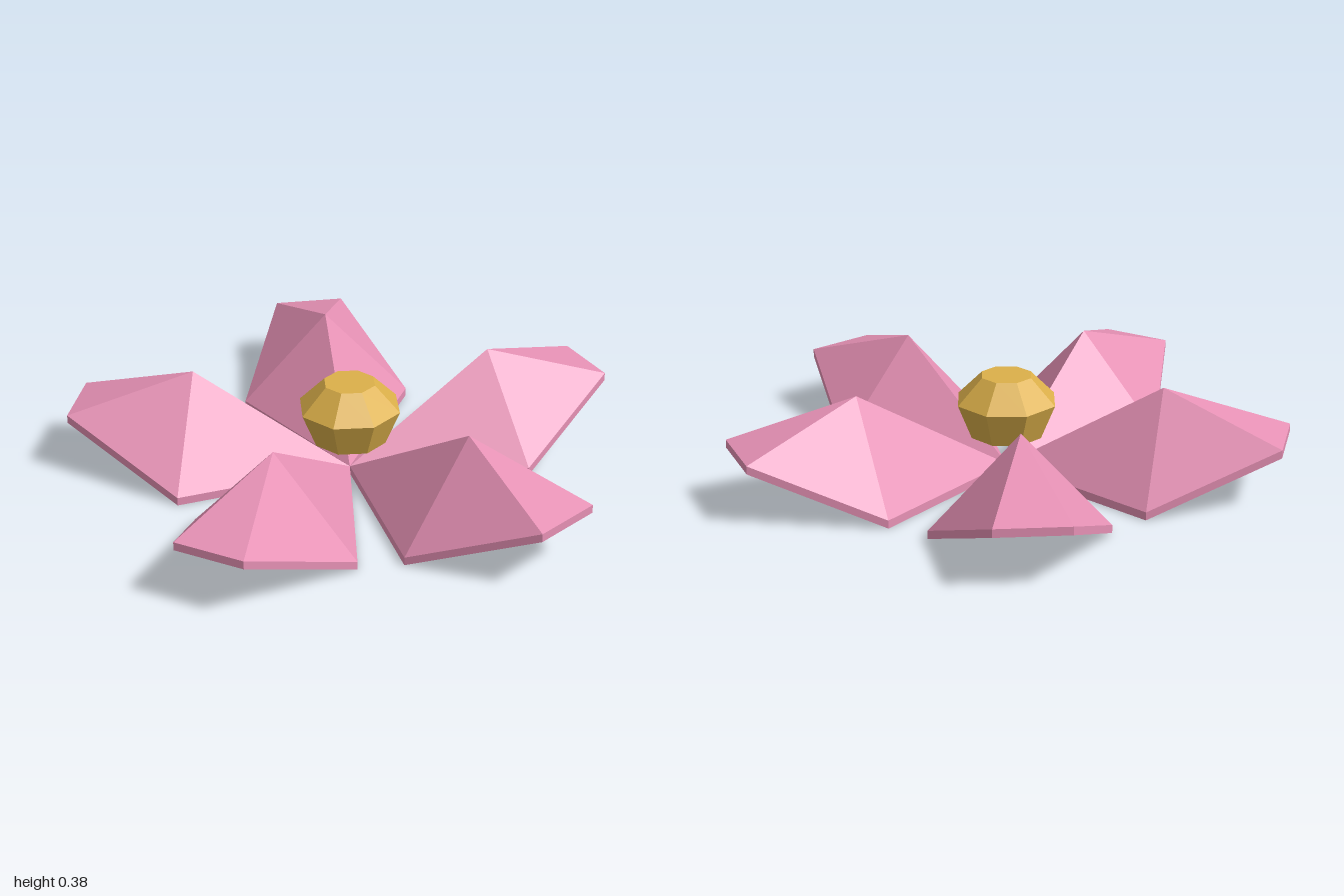
import * as THREE from 'three';

const THICK = 0.03;

// Thin tent-shaped petal running along +x, built from its rim and a raised peak.
function petalGeometry() {
  const rim = [[0, 0, 0], [0.57, 0, 0.315], [1.01, 0.2, 0.13], [1.01, 0.2, -0.13], [0.57, 0, -0.315]];
  const peak = [0.57, 0.345, 0];
  const lift = ([x, y, z]) => [x, y + THICK, z];
  const tris = [];
  rim.forEach((a, i) => {
    const b = rim[(i + 1) % rim.length];
    tris.push(lift(peak), lift(a), lift(b)); // upper face
    tris.push(peak, b, a); // underside
    tris.push(a, b, lift(b), a, lift(b), lift(a)); // edge strip
  });
  const geo = new THREE.BufferGeometry();
  geo.setAttribute('position', new THREE.Float32BufferAttribute(tris.flat(), 3));
  geo.computeVertexNormals();
  return geo;
}

export function createModel() {
  const flower = new THREE.Group();
  flower.name = 'flower';
  const pink = new THREE.MeshStandardMaterial({ color: 0xe691b5, flatShading: true });
  const gold = new THREE.MeshStandardMaterial({ color: 0xdcb04a, flatShading: true });

  // Five petals around the centre
  const geo = petalGeometry();
  for (let i = 0; i < 5; i++) {
    const petal = new THREE.Mesh(geo, pink);
    petal.name = 'petal' + (i + 1);
    petal.rotation.y = (i * Math.PI * 2) / 5;
    flower.add(petal);
  }

  // Faceted eight-sided heart floating over the petal bases
  const profile = [[0, 0.15], [0.135, 0.15], [0.188, 0.28], [0.095, 0.375], [0, 0.375]];
  const heart = new THREE.Mesh(
    new THREE.LatheGeometry(profile.map(([r, y]) => new THREE.Vector2(r, y)), 8), gold);
  heart.name = 'flowerHeart';
  flower.add(heart);

  flower.position.x = -0.06;
  const model = new THREE.Group();
  model.add(flower);
  return model;
}
